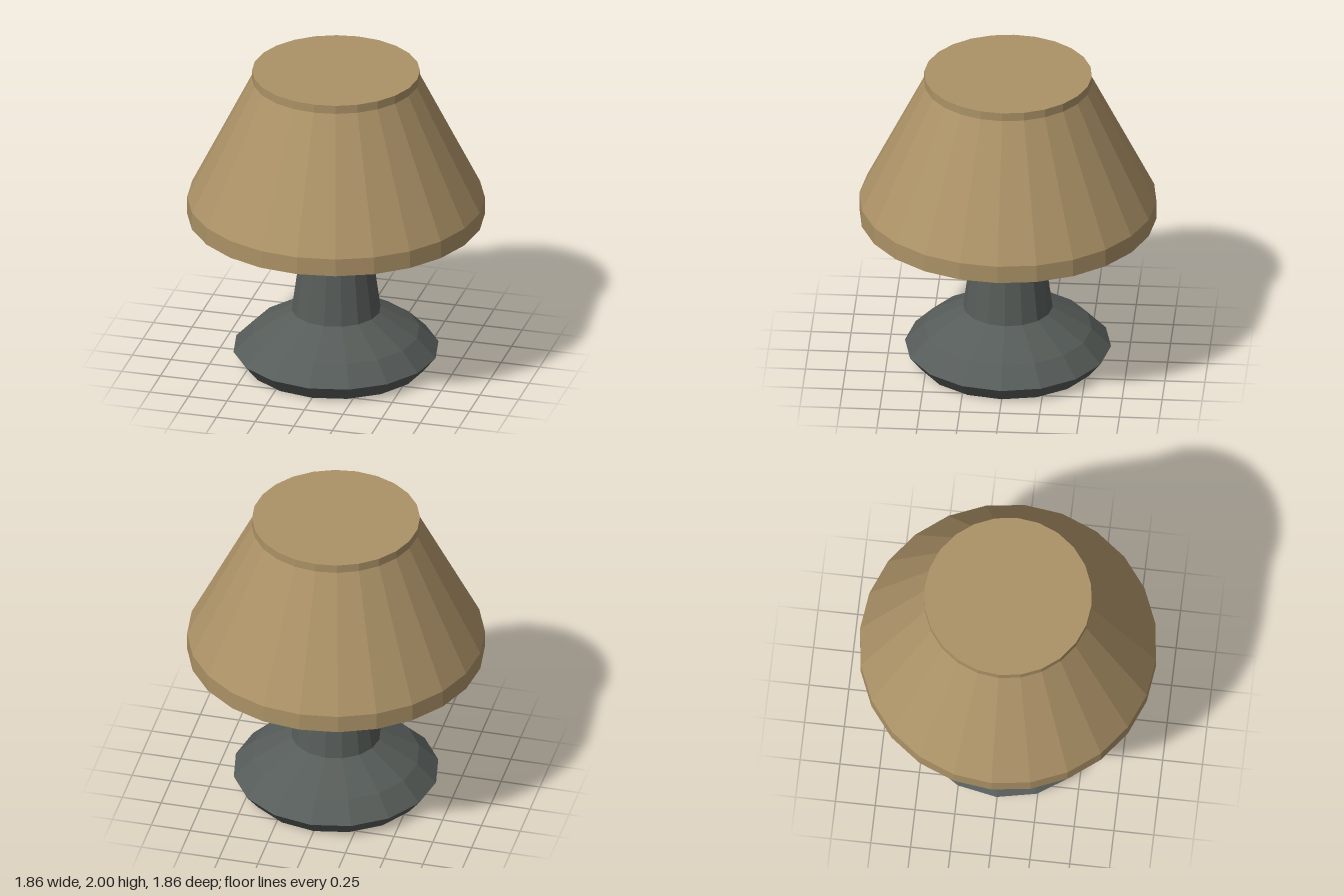
import * as THREE from 'three';

// Faceted solid of revolution from [radius, height] pairs, listed bottom to top
function turned(name, profile, sides, material) {
  const points = profile.map(([r, y]) => new THREE.Vector2(r, y));
  const mesh = new THREE.Mesh(new THREE.LatheGeometry(points, sides), material);
  mesh.name = name;
  return mesh;
}

export function createModel() {
  const shadeTan = new THREE.MeshStandardMaterial({ color: 0xac9267, flatShading: true });
  shadeTan.name = 'shadeTan';
  const darkMetal = new THREE.MeshStandardMaterial({ color: 0x565c59, flatShading: true });
  darkMetal.name = 'darkMetal';

  const lamp = new THREE.Group();
  lamp.name = 'tableLamp';

  // Flared foot with undercut rim
  lamp.add(turned('foot', [[0, 0], [0.565, 0], [0.645, 0.1], [0.525, 0.22], [0.28, 0.365]], 16, darkMetal));

  // Tapered stem running up to the shade
  lamp.add(turned('stem', [[0.28, 0.365], [0.19, 1.02]], 16, darkMetal));

  // Closed shade with straight bands at both rims
  lamp.add(turned('shade', [[0, 1.015], [0.93, 1.015], [0.93, 1.13], [0.525, 1.945], [0.525, 2], [0, 2]], 24, shadeTan));

  // Pull switch hanging under the front of the shade
  const pull = new THREE.Mesh(new THREE.CylinderGeometry(0.02, 0.02, 0.26, 8), darkMetal);
  pull.name = 'pullSwitch';
  pull.position.set(0, 0.9, 0.327);
  lamp.add(pull);

  return lamp;
}
